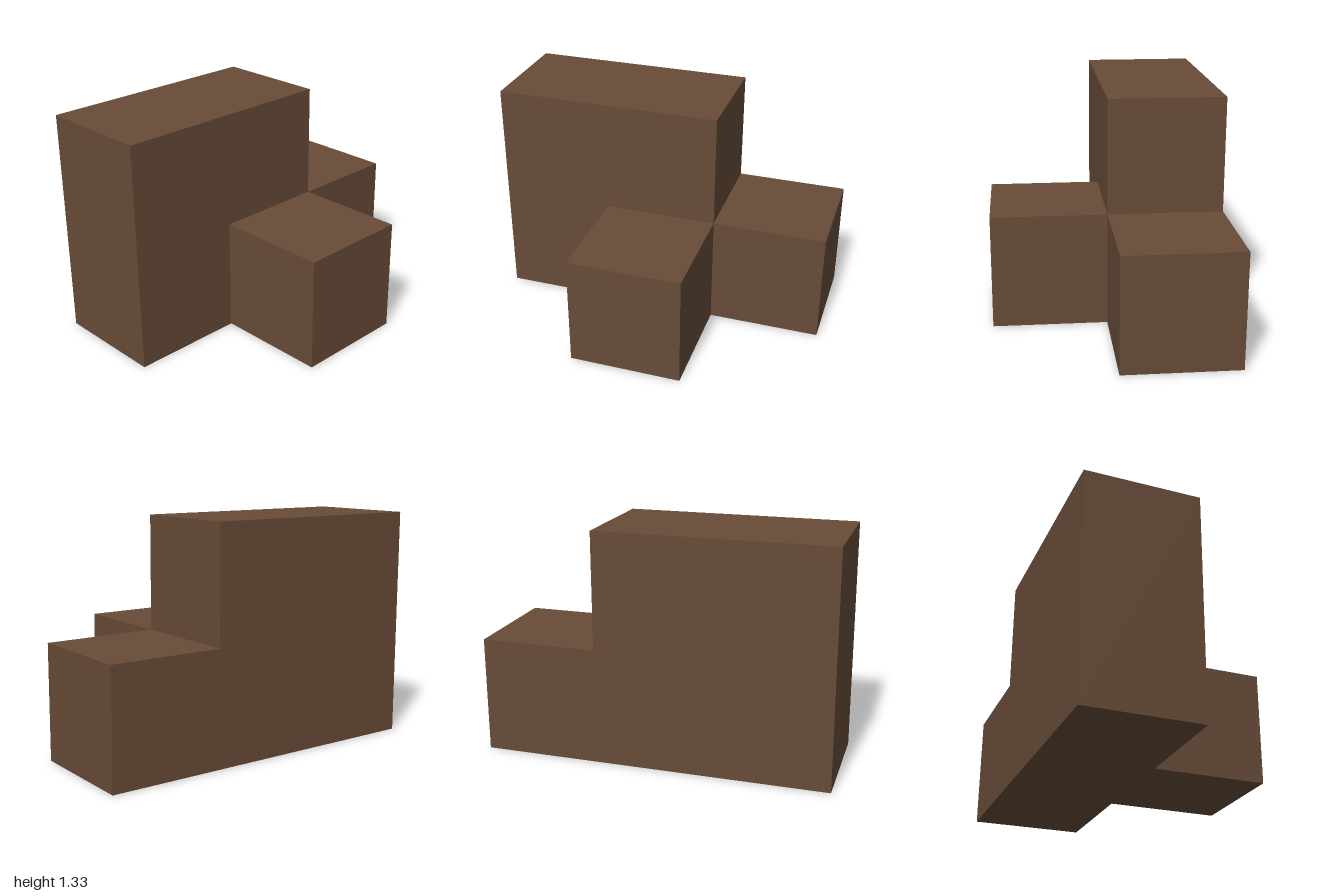
import * as THREE from 'three';

const U = 2 / 3; // edge of one cube unit

export function createModel() {
  const group = new THREE.Group();
  group.name = 'blockPiece';
  const brown = new THREE.MeshStandardMaterial({ color: 0x674b37 });
  brown.name = 'brown';

  // Stepped back wall: three units wide, two high, with the upper left unit missing
  const outline = new THREE.Shape([
    [-1, 0], [1, 0], [1, U], [U / 2, U], [U / 2, 2 * U], [-1, 2 * U],
  ].map(([x, y]) => new THREE.Vector2(x, y)));
  const wall = new THREE.Mesh(
    new THREE.ExtrudeGeometry(outline, { depth: U, bevelEnabled: false }), brown);
  wall.name = 'steppedWall';
  wall.position.z = -U;
  group.add(wall);

  // Single cube projecting from the middle of the wall
  const cube = new THREE.Mesh(new THREE.BoxGeometry(U, U, U), brown);
  cube.name = 'frontCube';
  cube.position.set(0, U / 2, U / 2);
  group.add(cube);

  return group;
}
